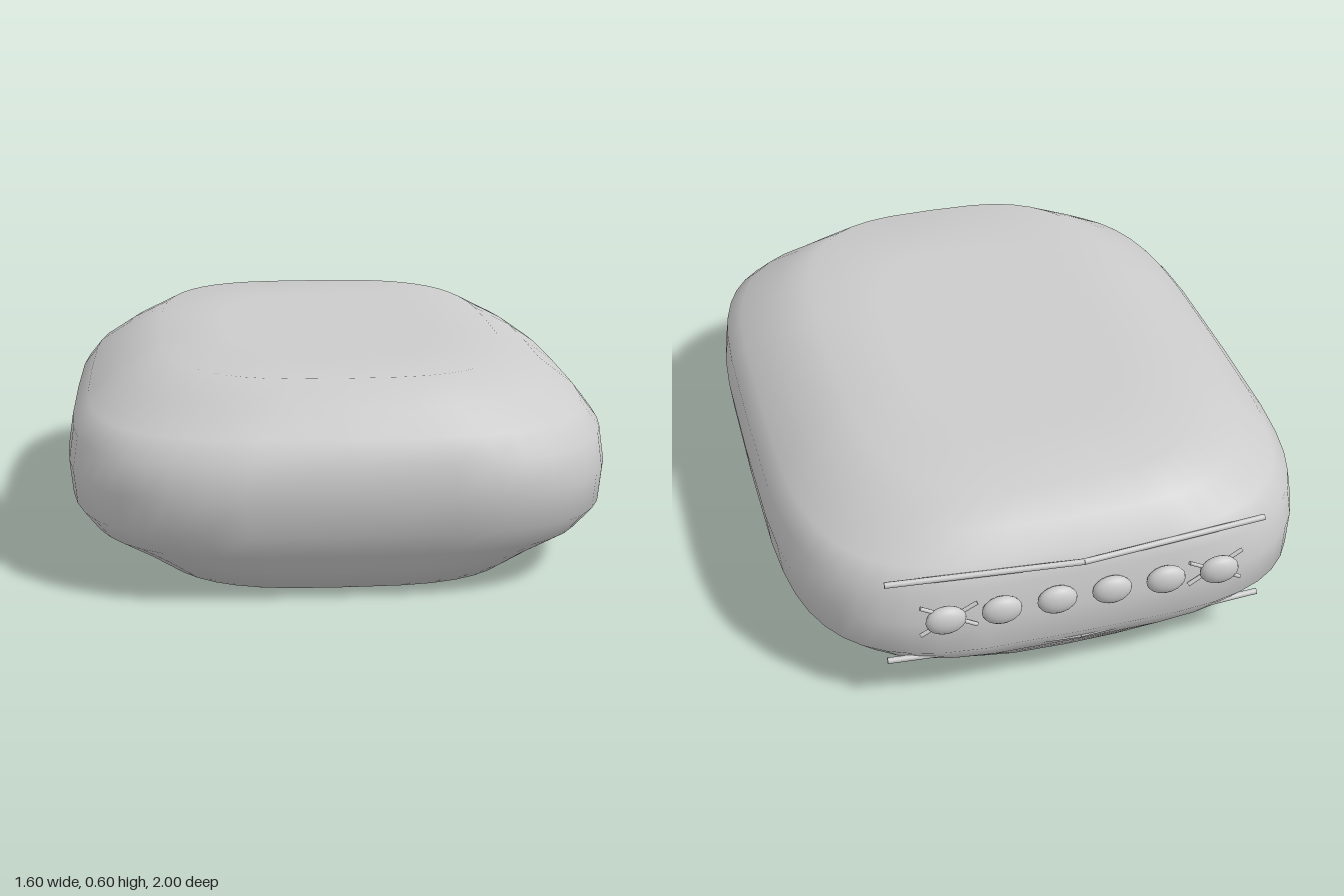
import * as THREE from 'three';

const material = new THREE.MeshStandardMaterial({ color: 0xcccccc, side: THREE.DoubleSide });

// Cushion levels: height, half width, front depth, back depth, squareness
const LEVELS = [
  [0.0, 0.0, 0.0, 0.0, 3],
  [0.0, 0.36, 0.54, 0.53, 3],
  [0.0, 0.57, 0.83, 0.81, 3.2],
  [0.07, 0.665, 0.895, 0.875, 3.4],
  [0.13, 0.75, 0.95, 0.93, 3.7],
  [0.2, 0.79, 0.995, 0.975, 4],
  [0.3, 0.8, 1.0, 0.965, 4],
  [0.4, 0.785, 0.995, 0.95, 4],
  [0.46, 0.74, 0.94, 0.925, 3.8],
  [0.53, 0.645, 0.87, 0.865, 3.4],
  [0.597, 0.52, 0.8, 0.79, 3.2],
  [0.6, 0.33, 0.52, 0.51, 3],
  [0.6, 0.0, 0.0, 0.0, 3],
];

function cushionGeometry(segments = 48) {
  const positions = [], index = [];
  const power = (v, n) => Math.sign(v) * Math.abs(v) ** (2 / n);
  for (const [y, width, front, back, n] of LEVELS) {
    for (let i = 0; i < segments; i++) {
      const t = (i / segments) * Math.PI * 2;
      const s = power(Math.sin(t), n);
      positions.push(width * power(Math.cos(t), n), y, s * (s > 0 ? front : back));
    }
  }
  for (let j = 0; j < LEVELS.length - 1; j++) {
    for (let i = 0; i < segments; i++) {
      const k = (i + 1) % segments;
      const a = j * segments + i, b = j * segments + k;
      const c = a + segments, d = b + segments;
      if (j > 0) index.push(a, c, b);
      if (j < LEVELS.length - 2) index.push(b, c, d);
    }
  }
  // The end fans leave one triangle per segment; close them here
  for (let i = 0; i < segments; i++) {
    const k = (i + 1) % segments;
    index.push(i, segments + i, segments + k);
  }
  const geometry = new THREE.BufferGeometry();
  geometry.setAttribute('position', new THREE.Float32BufferAttribute(positions, 3));
  geometry.setIndex(index);
  geometry.computeVertexNormals();
  return geometry;
}

function rod(name, from, to, radius) {
  const a = new THREE.Vector3(...from), b = new THREE.Vector3(...to);
  const dir = b.clone().sub(a);
  const mesh = new THREE.Mesh(new THREE.CylinderGeometry(radius, radius, dir.length(), 8), material);
  mesh.position.copy(a).add(b).multiplyScalar(0.5);
  mesh.quaternion.setFromUnitVectors(new THREE.Vector3(0, 1, 0), dir.normalize());
  mesh.name = name;
  return mesh;
}

export function createModel() {
  const model = new THREE.Group();
  model.name = 'cushion';

  const body = new THREE.Mesh(cushionGeometry(), material);
  body.name = 'cushionBody';
  model.add(body);

  // Row of flattened beads across the back
  const beads = new THREE.Group();
  beads.name = 'backBeads';
  const beadGeometry = new THREE.SphereGeometry(1, 16, 12);
  for (let i = 0; i < 6; i++) {
    const bead = new THREE.Mesh(beadGeometry, material);
    bead.name = 'bead';
    bead.scale.set(0.058, 0.045, 0.028);
    bead.position.set(-0.4 + i * 0.16, 0.335, -0.972);
    beads.add(bead);
  }
  model.add(beads);

  // Trim rods bent at the middle, and crossed pins behind the end beads
  for (const side of [-1, 1]) {
    model.add(rod('upperTrim', [0, 0.44, -0.955], [side * 0.555, 0.44, -0.905], 0.009));
    model.add(rod('lowerTrim', [0, 0.16, -0.945], [side * 0.555, 0.16, -0.905], 0.009));
    for (const tilt of [-1, 1]) {
      model.add(rod('crossPin',
        [side * 0.31, 0.335 - tilt * 0.04, -0.968],
        [side * 0.47, 0.335 + tilt * 0.05, -0.962], 0.006));
    }
  }
  return model;
}
